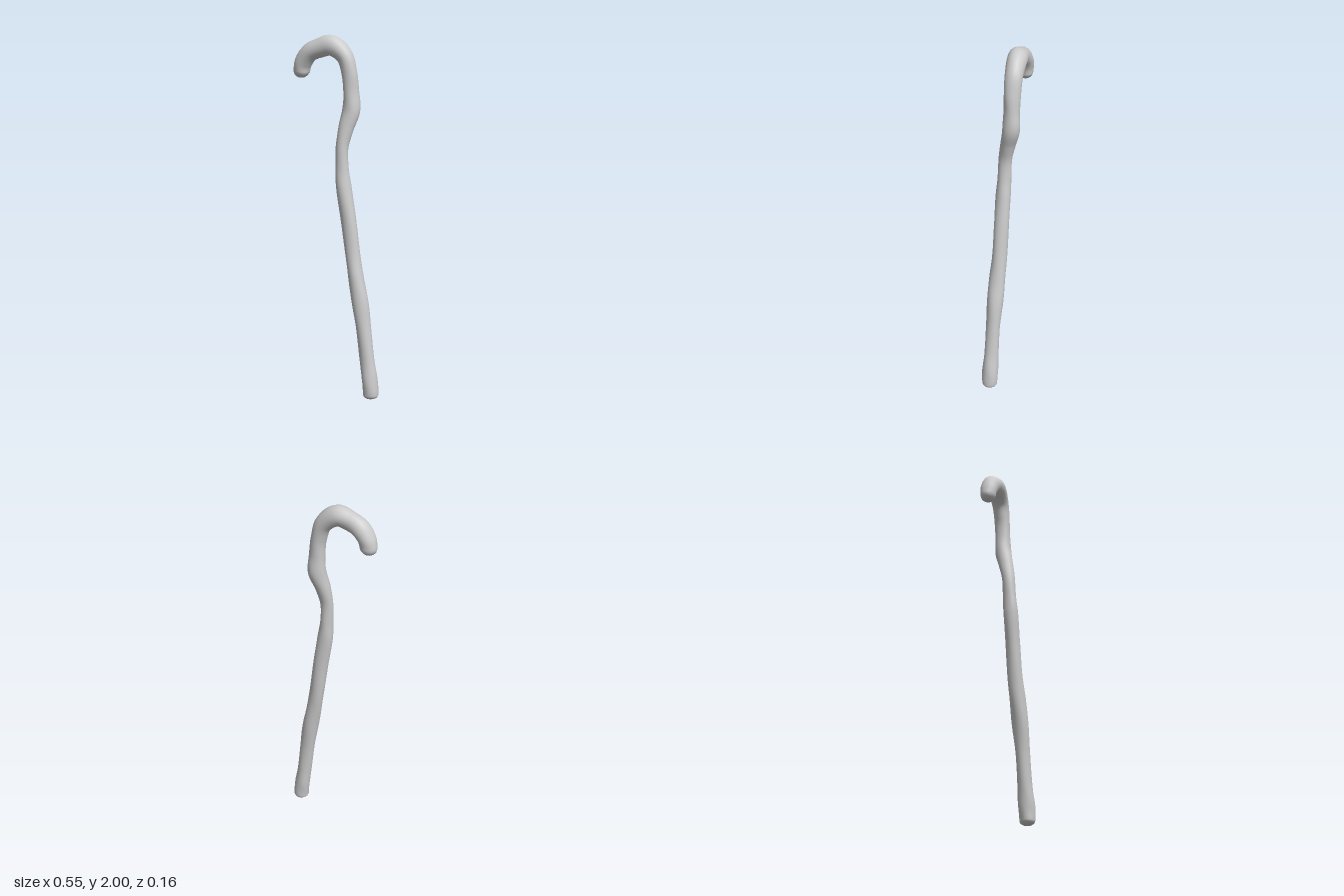
import * as THREE from 'three';
import { mergeVertices } from 'three/addons/utils/BufferGeometryUtils.js';

// Spine stations from foot to hook tip: x, y, z, radius
const STATIONS = [
  [0.232, 0.0, 0.021, 0.041],
  [0.23, 0.05, 0.021, 0.044],
  [0.221, 0.12, 0.021, 0.045],
  [0.205, 0.22, 0.021, 0.041],
  [0.18, 0.4, 0.022, 0.041],
  [0.156, 0.55, 0.022, 0.046],
  [0.128, 0.68, 0.022, 0.044],
  [0.105, 0.8, 0.02, 0.042],
  [0.076, 1.0, 0.021, 0.042],
  [0.045, 1.18, 0.025, 0.042],
  [0.034, 1.28, 0.024, 0.037],
  [0.029, 1.4, 0.019, 0.036],
  [0.039, 1.5, -0.002, 0.042],
  [0.056, 1.6, -0.029, 0.048],
  [0.053, 1.7, -0.031, 0.043],
  [0.043, 1.8, -0.029, 0.044],
  [0.012, 1.89, -0.024, 0.048],
  [-0.06, 1.944, -0.004, 0.055],
  [-0.125, 1.931, 0.014, 0.053],
  [-0.185, 1.902, 0.026, 0.052],
  [-0.225, 1.845, 0.034, 0.048],
  [-0.236, 1.8, 0.035, 0.044],
  [-0.238, 1.763, 0.034, 0.042],
];
const SEGMENTS = 264;
const SIDES = 18;

function createShaft() {
  const spine = new THREE.CatmullRomCurve3(STATIONS.map(([x, y, z]) => new THREE.Vector3(x, y, z)));
  const girth = new THREE.SplineCurve(STATIONS.map((s, i) => new THREE.Vector2(i, s[3])));
  // Step by station so that spine and girth stay in register
  spine.getPointAt = spine.getPoint;
  spine.getTangentAt = spine.getTangent;

  const geometry = new THREE.TubeGeometry(spine, SEGMENTS, 1, SIDES);
  const position = geometry.attributes.position;
  const normal = geometry.attributes.normal;
  const foot = spine.getPoint(0);
  const tip = spine.getPoint(1);
  const n = new THREE.Vector3();

  // Rounded end: 0 at the end point, 1 once past the cap
  const cap = (distance, depth) => {
    const s = Math.min(distance / depth, 1);
    return Math.sqrt(1 - (1 - s) ** 2);
  };

  for (let j = 0; j <= SEGMENTS; j++) {
    const t = j / SEGMENTS;
    const centre = spine.getPoint(t);
    const ends = cap(centre.distanceTo(foot), 0.025) * cap(centre.distanceTo(tip), 0.04);
    const radius = girth.getPoint(t).y * ends;
    for (let i = 0; i <= SIDES; i++) {
      const k = j * (SIDES + 1) + i;
      const a = (i % SIDES) / SIDES * Math.PI * 2;
      // Gentle carved unevenness of the wood
      const bump = 1 + 0.025 * Math.sin(2 * a + t * 31) + 0.02 * Math.sin(3 * a - t * 57);
      n.fromBufferAttribute(normal, k).multiplyScalar(radius * bump).add(centre);
      position.setXYZ(k, n.x, n.y, n.z);
    }
  }

  // Weld the seam and end points for continuous smooth shading
  geometry.deleteAttribute('normal');
  geometry.deleteAttribute('uv');
  const welded = mergeVertices(geometry, 1e-5);
  welded.computeVertexNormals();
  return welded;
}

export function createModel() {
  const group = new THREE.Group();
  group.name = 'walkingStick';
  const wood = new THREE.MeshStandardMaterial({ color: 0xcccccc });
  const shaft = new THREE.Mesh(createShaft(), wood);
  shaft.name = 'shaftAndHook';
  group.add(shaft);
  return group;
}
